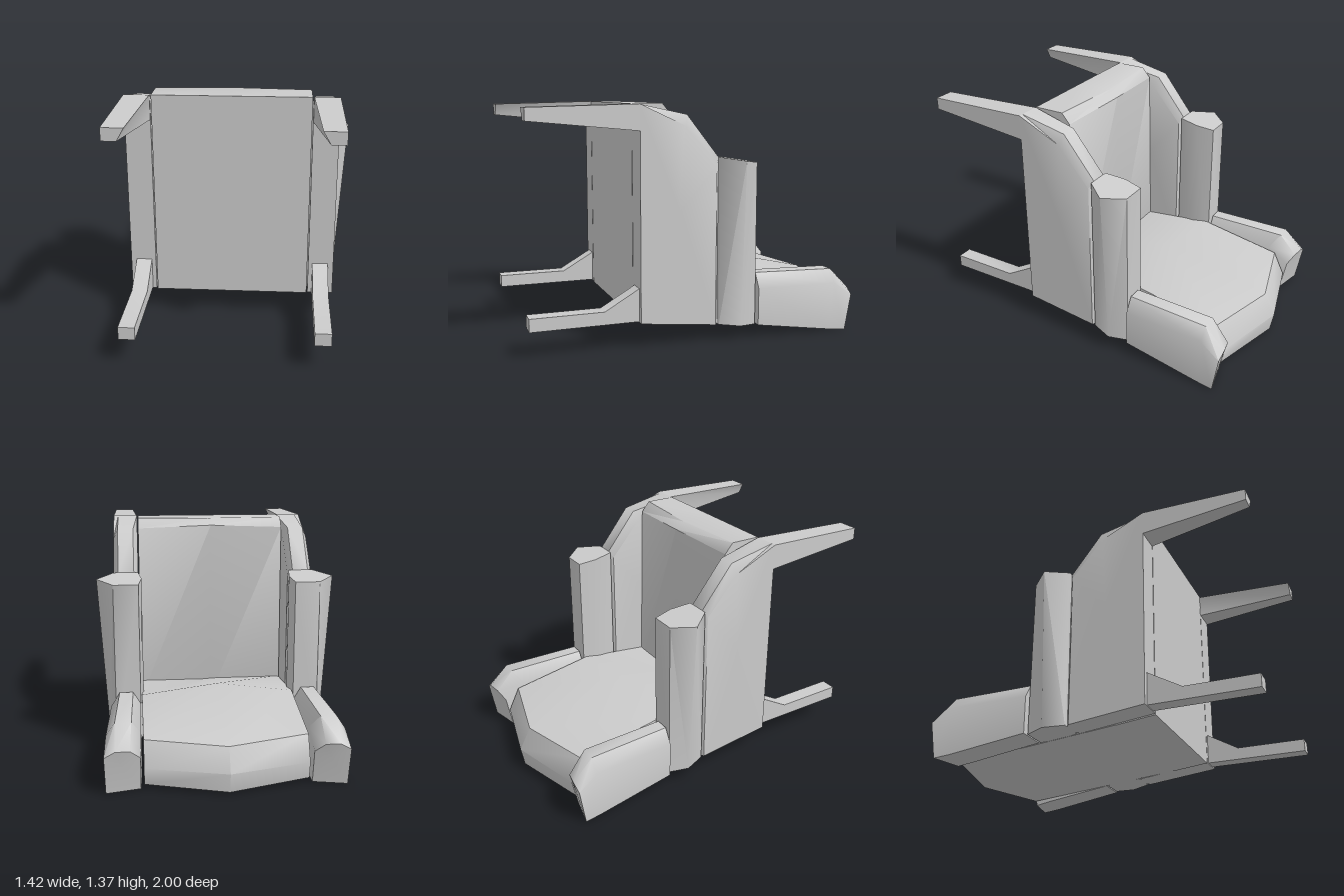
import * as THREE from 'three';
import { toCreasedNormals } from 'three/addons/utils/BufferGeometryUtils.js';

const material = new THREE.MeshStandardMaterial({ color: 0xcccccc });

// Skin a closed solid over rings of equal point count, each ring a list of [x, y, z]
function loft(name, rings, crease = 0.7) {
  const n = rings[0].length;
  const points = rings.flat().map(p => new THREE.Vector3(...p));
  const index = [];
  for (let r = 0; r < rings.length - 1; r++) {
    for (let i = 0; i < n; i++) {
      const a = r * n + i, b = r * n + (i + 1) % n;
      index.push(a, b, b + n, a, b + n, a + n);
    }
  }
  // End caps fan out from the middle of the ring
  const cap = (start, flip) => {
    const mid = new THREE.Vector3();
    for (let i = 0; i < n; i++) mid.addScaledVector(points[start + i], 1 / n);
    const c = points.push(mid) - 1;
    for (let i = 0; i < n; i++) {
      const a = start + i, b = start + (i + 1) % n;
      index.push(c, flip ? b : a, flip ? a : b);
    }
  };
  const last = (rings.length - 1) * n;
  cap(0, true);
  cap(last, false);
  // Turn the faces outward if the volume comes out negative
  let volume = 0;
  for (let i = 0; i < index.length; i += 3) {
    const [a, b, c] = [0, 1, 2].map(k => points[index[i + k]]);
    volume += a.dot(b.clone().cross(c));
  }
  if (volume < 0) index.reverse();
  const geometry = new THREE.BufferGeometry().setFromPoints(points);
  geometry.setIndex(index);
  const mesh = new THREE.Mesh(toCreasedNormals(geometry, crease), material);
  mesh.name = name;
  return mesh;
}

// Loft across the width: same profile on both sides, a crowned one in the middle
function crowned(name, side, middle) {
  const at = (x, profile) => profile.map(([z, y]) => [x, y, z]);
  return loft(name, [at(-0.457, side), at(0, middle), at(0.457, side)]);
}

// Rectangle in x and y at a given z
const rect = (x0, x1, y0, y1, z) => [[x0, y0, z], [x1, y0, z], [x1, y1, z], [x0, y1, z]];

function createModel() {
  const group = new THREE.Group();

  // Seat block, crowned along its front edge
  group.add(crowned('seat',
    [[0.38, 0.145], [0.38, 1.37], [0.2, 1.37], [0.15, 1.31], [0.13, 0.2], [0.15, 0.12]],
    [[0.38, 0.145], [0.38, 1.37], [0.17, 1.37], [0.115, 1.33], [0.125, 0.2], [0.15, 0.12]]));

  // Backrest with a peaked top
  group.add(crowned('backrest',
    [[0.16, 0.31], [-0.31, 0.36], [-0.81, 0.27], [-0.88, 0.13], [-0.86, 0.03], [0.16, 0.122]],
    [[0.16, 0.31], [-0.28, 0.41], [-0.93, 0.26], [-1, 0.13], [-0.98, 0.018], [0.16, 0.122]]));

  for (const s of [-1, 1]) {
    const side = new THREE.Group();
    side.name = s > 0 ? 'leftSide' : 'rightSide';
    const add = (name, rings, crease) =>
      side.add(loft(name, rings.map(r => r.map(([x, y, z]) => [s * x, y, z])), crease));

    // Side panel under the arm: sloped profile, inner edge eased at the front
    const panel = [[0.38, 0.15], [0.38, 1.37], [0.1, 1.31], [-0.09, 1.07], [-0.09, 0.1]];
    const eased = [[0.38, 0.15], [0.38, 1.37], [0.12, 1.25], [-0.07, 1.03], [-0.07, 0.1]];
    const cut = (x, p) => p.map(([z, y]) => [x, y, z]);
    add('sidePanel', [cut(0.463, eased), cut(0.49, panel), cut(0.585, panel), cut(0.613, eased)]);

    // Armrest: six-sided post, flaring outward to its end
    const post = (outer, y0, y1) => [
      [0.465, y0, -0.09], [0.613, y0, -0.09], [outer, (y0 + y1) / 2, -0.21],
      [0.613, y1, -0.32], [0.465, y1, -0.32], [0.445, (y0 + y1) / 2, -0.21]];
    add('armrest', [post(0.655, 0.1, 0.08), post(0.712, 1.07, 1.035)], 1.1);

    // Wing beside the backrest, rounded on top and closing toward its end
    add('wing', [
      [[0.465, 0.08, -0.33], [0.465, 0.31, -0.33], [0.51, 0.385, -0.33],
        [0.59, 0.385, -0.33], [0.642, 0.3, -0.33], [0.64, 0.08, -0.33]],
      [[0.468, 0.02, -0.76], [0.468, 0.29, -0.76], [0.52, 0.375, -0.82],
        [0.61, 0.375, -0.82], [0.66, 0.3, -0.82], [0.66, 0.012, -0.8]],
      [[0.475, 0.005, -0.86], [0.475, 0.2, -0.895], [0.53, 0.25, -0.925],
        [0.61, 0.255, -0.94], [0.67, 0.22, -0.935], [0.665, 0.003, -0.9]]], 0.9);

    // Tapered front leg
    add('frontLeg', [
      rect(0.465, 0.613, 1.225, 1.37, 0.38),
      [[0.53, 1.285, 1], [0.61, 1.285, 1], [0.61, 1.355, 1], [0.49, 1.355, 1]]]);

    // Rear leg, thickened where it joins the seat
    add('rearLeg', [
      rect(0.487, 0.58, 0.155, 0.345, 0.38),
      rect(0.487, 0.58, 0.155, 0.23, 0.58),
      rect(0.487, 0.58, 0.155, 0.23, 1)]);

    group.add(side);
  }
  return group;
}

export { createModel };
